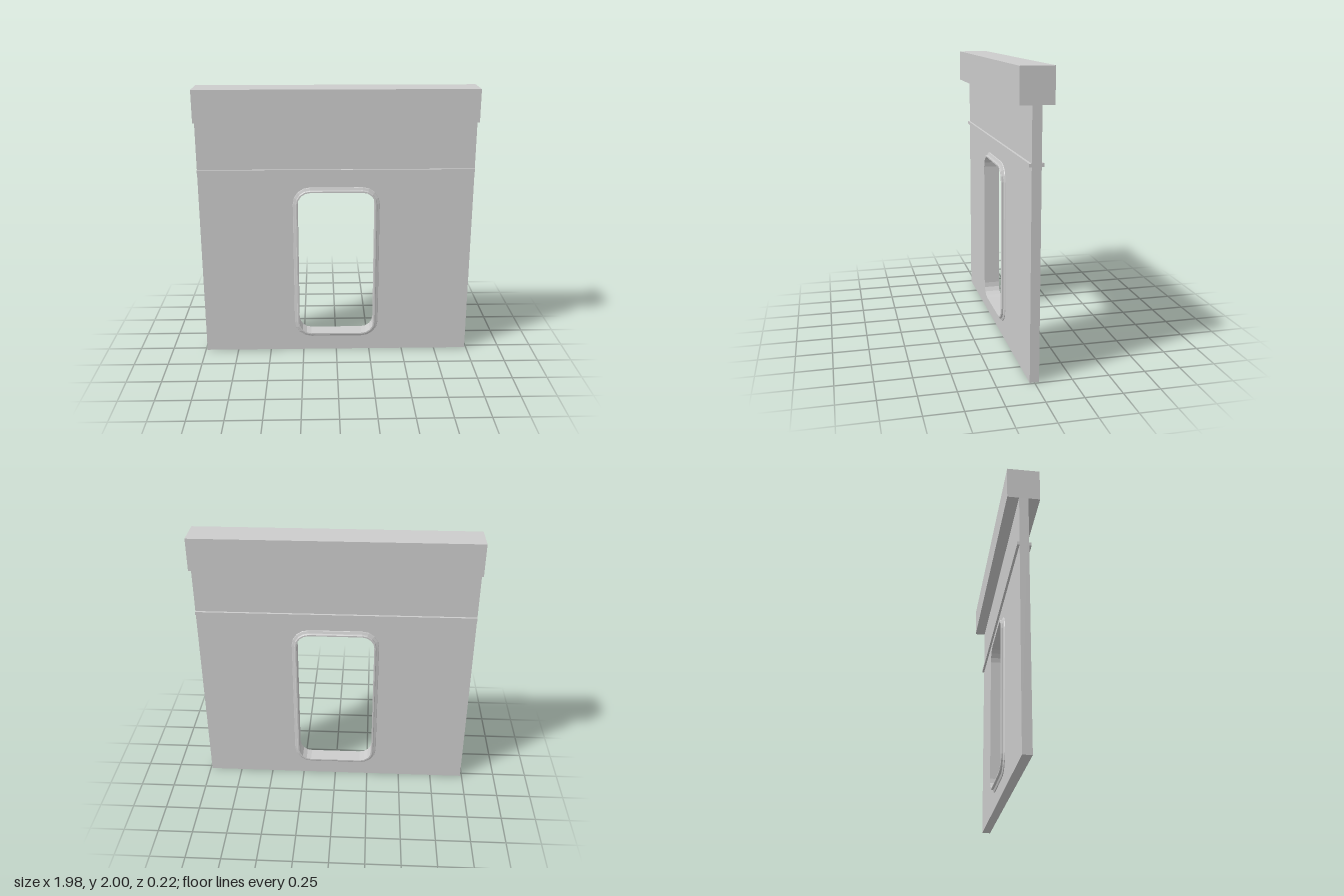
import * as THREE from 'three';

const material = new THREE.MeshStandardMaterial({ color: 0xcccccc, flatShading: true });
const HALF_WIDTH = 0.988, WALL_TOP = 1.77, WALL_Z = 0.031;
const OPENING = { x: 0.19, y: 0.465, centre: 0.7 }; // corner centres of the opening

// Rounded rectangle, counter-clockwise, at distance r from the corner centres
function outline(r, segments = 4) {
  const points = [];
  [[1, 1], [-1, 1], [-1, -1], [1, -1]].forEach(([sx, sy], corner) => {
    for (let i = 0; i <= segments; i++) {
      const a = (corner + i / segments) * Math.PI / 2;
      points.push(new THREE.Vector2(
        sx * OPENING.x + r * Math.cos(a),
        OPENING.centre + sy * OPENING.y + r * Math.sin(a)));
    }
  });
  return points;
}

// Sweep a closed [r, z] profile around the opening
function frameGeometry(profile) {
  const loops = profile.map(([r, z]) => outline(r).map(p => [p.x, p.y, z]));
  const count = loops[0].length, positions = [];
  loops.forEach((loop, k) => {
    const next = loops[(k + 1) % loops.length];
    for (let i = 0; i < count; i++) {
      const j = (i + 1) % count;
      positions.push(...loop[i], ...loop[j], ...next[j], ...loop[i], ...next[j], ...next[i]);
    }
  });
  const geometry = new THREE.BufferGeometry();
  geometry.setAttribute('position', new THREE.Float32BufferAttribute(positions, 3));
  geometry.computeVertexNormals();
  return geometry;
}

export function createModel() {
  const group = new THREE.Group();
  const add = (name, geometry, y = 0, z = 0) => {
    const mesh = new THREE.Mesh(geometry, material);
    mesh.name = name;
    mesh.position.set(0, y, z);
    group.add(mesh);
  };

  // Wall panel with the window opening
  const wall = new THREE.Shape([
    new THREE.Vector2(-HALF_WIDTH, 0), new THREE.Vector2(HALF_WIDTH, 0),
    new THREE.Vector2(HALF_WIDTH, WALL_TOP), new THREE.Vector2(-HALF_WIDTH, WALL_TOP)]);
  wall.holes.push(new THREE.Path(outline(0.1).reverse()));
  add('wallPanel', new THREE.ExtrudeGeometry(wall, { depth: 2 * WALL_Z, bevelEnabled: false }), 0, -WALL_Z);

  // Top beam
  add('topBeam', new THREE.BoxGeometry(2 * HALF_WIDTH, 0.23, 0.22), 1.885);

  // Thin rail on each face
  for (const [name, side] of [['frontRail', 1], ['backRail', -1]]) {
    add(name, new THREE.BoxGeometry(2 * HALF_WIDTH, 0.022, 0.018), 1.412, side * 0.038);
  }

  // Stepped window frame, the same on both faces
  const front = [[0.125, 0.03], [0.122, 0.036], [0.105, 0.042], [0.105, 0.053], [0.1, 0.057], [0.09, 0.057]];
  const back = front.map(([r, z]) => [r, -z]).reverse();
  add('windowFrame', frameGeometry([...front, ...back]));

  return group;
}
